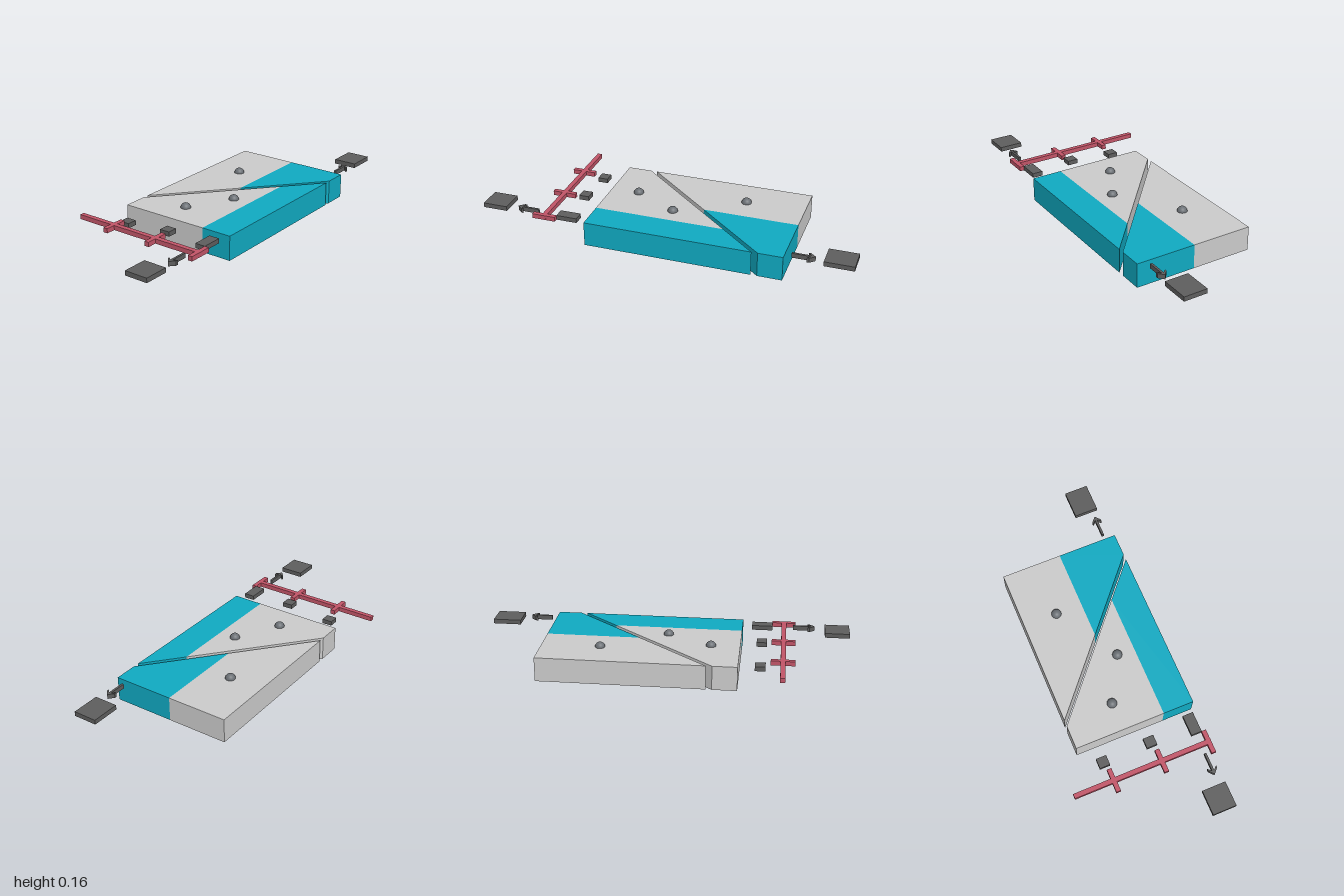
import * as THREE from 'three';

const material = (color) => new THREE.MeshStandardMaterial({ color });
const grey = material(0xcccccc);
const teal = material(0x10aac2);
const red = material(0xc25568);
const dark = material(0x5e5e5e);
const stone = material(0x6b7075);

const TOP = 0.133, THICK = 0.025;
const BACK = -0.28, FRONT = 0.386, LEFT = 0.65, RIGHT = -0.41;

// Upright prism from a plan outline of [x, z] points
function prism(name, outline, y0, y1, mat) {
  const shape = new THREE.Shape(outline.map(([x, z]) => new THREE.Vector2(x, -z)));
  const geometry = new THREE.ExtrudeGeometry(shape, { depth: y1 - y0, bevelEnabled: false });
  geometry.rotateX(-Math.PI / 2).translate(0, y0, 0);
  const mesh = new THREE.Mesh(geometry, mat);
  mesh.name = name;
  return mesh;
}

// Flat plate given by its plan limits
function plate(name, x0, x1, z0, z1, mat, y1 = TOP) {
  const mesh = new THREE.Mesh(new THREE.BoxGeometry(x1 - x0, THICK, z1 - z0), mat);
  mesh.position.set((x0 + x1) / 2, y1 - THICK / 2, (z0 + z1) / 2);
  mesh.name = name;
  return mesh;
}

// x of the diagonal fault at depth z, on either side of the gap
const faultX = (z, side) => -0.263 + ((z - BACK) / (FRONT - BACK)) * 0.768 + side * 0.016;

// One band of a fault block, between its outer end and the fault
function band(name, end, side, z0, z1, mat) {
  return prism(name, [
    [end, z0], [faultX(z0, side), z0], [faultX(z1, side), z1], [end, z1],
  ], 0, TOP, mat);
}

// Arrow with an open head, pointing along dir in x
function arrow(name, x, z, dir) {
  const half = [[0, 0.006], [0.097, 0.006], [0.08, 0.025], [0.092, 0.025], [0.12, 0]];
  const outline = [...half, ...half.slice(0, -1).reverse().map(([a, b]) => [a, -b])];
  return prism(name, outline.map(([a, b]) => [x + dir * a, z + b]), TOP - THICK, TOP, dark);
}

export function createModel() {
  const model = new THREE.Group();
  model.name = 'faultBlockMap';

  // Two blocks, each a back and a front rock layer
  const rightBlock = new THREE.Group();
  rightBlock.name = 'rightBlock';
  rightBlock.add(
    band('rightBackLayer', RIGHT, -1, BACK, 0.217, grey),
    band('rightFrontLayer', RIGHT, -1, 0.217, FRONT, teal),
  );
  const leftBlock = new THREE.Group();
  leftBlock.name = 'leftBlock';
  leftBlock.add(
    band('leftBackLayer', LEFT, 1, BACK, 0.054, grey),
    band('leftFrontLayer', LEFT, 1, 0.054, FRONT, teal),
  );
  model.add(rightBlock, leftBlock);

  // Marker balls half sunk in the top
  for (const [x, z] of [[-0.254, -0.013], [-0.013, 0.12], [0.332, -0.093]]) {
    const ball = new THREE.Mesh(new THREE.SphereGeometry(0.027, 32, 20), stone);
    ball.position.set(x, TOP, z);
    ball.name = 'markerBall';
    model.add(ball);
  }

  // Scale bar with three ticks
  const scale = new THREE.Group();
  scale.name = 'scaleBar';
  scale.add(plate('scaleRail', -0.652, -0.626, -0.386, 0.384, red));
  for (const z of [-0.165, 0.104, 0.371]) {
    scale.add(plate('tickRight', -0.703, -0.652, z - 0.0125, z + 0.0125, red));
    scale.add(plate('tickLeft', -0.626, -0.575, z - 0.0125, z + 0.0125, red));
  }
  model.add(scale);

  // Direction arrows
  model.add(arrow('rightArrow', -0.69, 0.327, -1), arrow('leftArrow', 0.68, 0.327, 1));

  // Blank label plates beside the ticks and beyond the arrows
  model.add(
    plate('tickLabelBack', -0.55, -0.495, -0.205, -0.148, dark, TOP - THICK),
    plate('tickLabelMiddle', -0.55, -0.495, 0.06, 0.118, dark),
    plate('tickLabelFront', -0.575, -0.462, 0.302, 0.36, dark),
    plate('rightEndLabel', -1, -0.865, 0.23, 0.36, dark),
    plate('leftEndLabel', 0.845, 1, 0.23, 0.36, dark),
  );
  return model;
}
